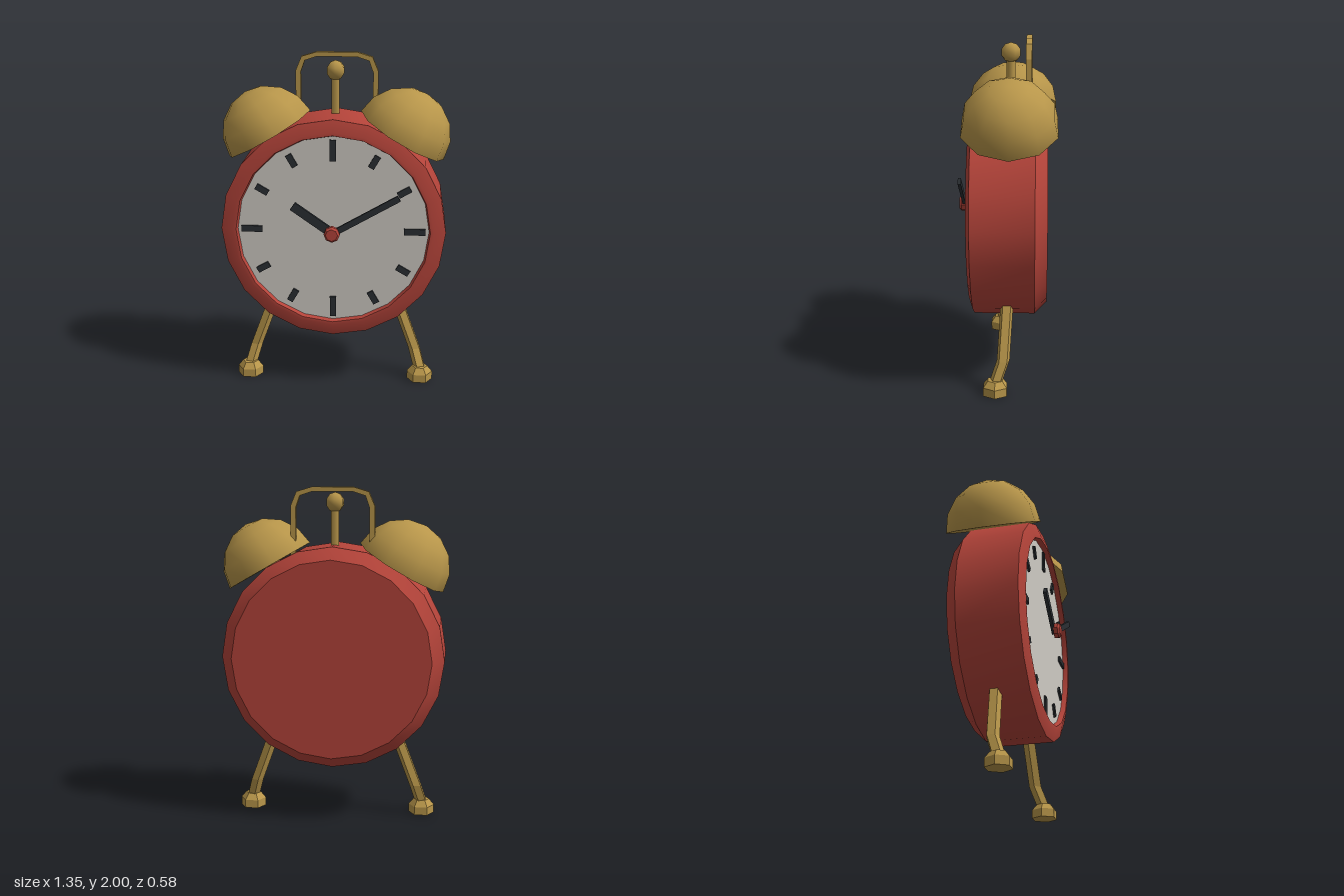
import * as THREE from 'three';
import { toCreasedNormals } from 'three/addons/utils/BufferGeometryUtils.js';

const paint = (color, flatShading = false) => new THREE.MeshStandardMaterial({ color, flatShading });
const red = paint(0xb5443a);
const gold = paint(0xb8964a);
const goldFlat = paint(0xb8964a, true);
const white = paint(0xcfcbc4);
const dark = paint(0x2b2f33);

function add(parent, name, geometry, material, x = 0, y = 0, z = 0) {
  const mesh = new THREE.Mesh(geometry, material);
  mesh.name = name;
  mesh.position.set(x, y, z);
  parent.add(mesh);
  return mesh;
}

const vec2 = (pairs) => pairs.map(([x, y]) => new THREE.Vector2(x, y));

// Lathe turned to face +z, smooth around but sharp at the rims
const turned = (profile, sides) =>
  toCreasedNormals(new THREE.LatheGeometry(vec2(profile), sides).rotateX(Math.PI / 2), 0.4);

// Flat bar lying along a direction on the dial, from radius r0 to r1
function dialBar(parent, name, angle, r0, r1, width, z, depth) {
  const geometry = new THREE.BoxGeometry(r1 - r0, width, depth).translate((r0 + r1) / 2, 0, 0);
  add(parent, name, geometry, dark, 0, 1, z).rotation.z = angle;
}

// Five-sided leg whose cross-sections follow three points
function legGeometry(path, side) {
  const geometry = new THREE.CylinderGeometry(0.039, 0.039, 2, 5, 2);
  geometry.rotateY(-side * Math.PI / 2);
  const p = geometry.attributes.position;
  for (let i = 0; i < p.count; i++) {
    const [x, y, z] = path[1 - Math.round(p.getY(i))];
    p.setXYZ(i, p.getX(i) + side * x, y, p.getZ(i) + z);
  }
  return geometry;
}

export function createModel() {
  const clock = new THREE.Group();
  clock.name = 'alarmClock';

  // Case with chamfered edges and a recessed front
  add(clock, 'case', turned([
    [0, -0.24], [0.59, -0.24], [0.66, -0.17], [0.66, 0.19],
    [0.59, 0.213], [0.57, 0.213], [0.562, 0.18],
  ], 20), red, 0, 1, 0);
  add(clock, 'dial', new THREE.CircleGeometry(0.565, 20), white, 0, 1, 0.182);

  // Hour marks, longer at the quarters
  for (let i = 0; i < 12; i++) {
    const half = i % 3 === 0 ? 0.0625 : 0.04;
    dialBar(clock, 'hourMark', i * Math.PI / 6, 0.479 - half, 0.479 + half, 0.037, 0.187, 0.014);
  }

  // Hands and hub
  dialBar(clock, 'hourHand', Math.PI * 145 / 180, -0.01, 0.28, 0.052, 0.245, 0.02);
  dialBar(clock, 'minuteHand', Math.PI / 6, 0.01, 0.445, 0.036, 0.258, 0.018);
  add(clock, 'hub', turned([
    [0, 0.25], [0.047, 0.25], [0.047, 0.275], [0.035, 0.288], [0, 0.288],
  ], 8), red, 0, 1, 0);

  for (const side of [1, -1]) {
    // Bell: faceted dome with a closed underside
    const bell = new THREE.Group();
    bell.name = side > 0 ? 'leftBell' : 'rightBell';
    bell.position.set(side * 0.395, 1.53, -0.025);
    bell.rotation.z = -side * Math.PI / 6;
    add(bell, 'dome', new THREE.SphereGeometry(0.283, 10, 4, 0, Math.PI * 2, 0, Math.PI / 2), gold);
    add(bell, 'underside', new THREE.CircleGeometry(0.283, 10).rotateX(Math.PI / 2), gold);
    clock.add(bell);

    // Bent leg and hexagonal foot
    const path = [[0.37, 0.53, -0.012], [0.495, 0.19, 0.008], [0.53, 0.07, 0.05]];
    add(clock, side > 0 ? 'leftLeg' : 'rightLeg', legGeometry(path, side), goldFlat);
    const foot = new THREE.LatheGeometry(
      vec2([[0, 0], [0.078, 0], [0.078, 0.05], [0.048, 0.086], [0, 0.088]]), 6);
    add(clock, side > 0 ? 'leftFoot' : 'rightFoot', foot.rotateY(Math.PI / 6), goldFlat,
      side * 0.53, 0, 0.053);
  }

  // Hammer between the bells
  add(clock, 'hammerStem', new THREE.CylinderGeometry(0.026, 0.026, 0.3, 6), gold, 0, 1.73, -0.022);
  add(clock, 'hammerBall', new THREE.SphereGeometry(0.059, 6, 5).rotateY(Math.PI / 6), gold, 0, 1.908, -0.022);

  // Carrying handle: flat arch of square section
  const outer = [[0.245, 1.6], [0.245, 1.89], [0.21, 1.973], [0.12, 2]];
  const inner = [[0.12, 1.973], [0.19, 1.95], [0.215, 1.88], [0.215, 1.6]];
  const mirror = (pts) => pts.map(([x, y]) => [-x, y]).reverse();
  const arch = new THREE.Shape(vec2([...outer, ...mirror(outer), ...mirror(inner), ...inner]));
  add(clock, 'handle', new THREE.ExtrudeGeometry(arch, { depth: 0.034, bevelEnabled: false }),
    goldFlat, 0, 0, -0.147);

  return clock;
}
